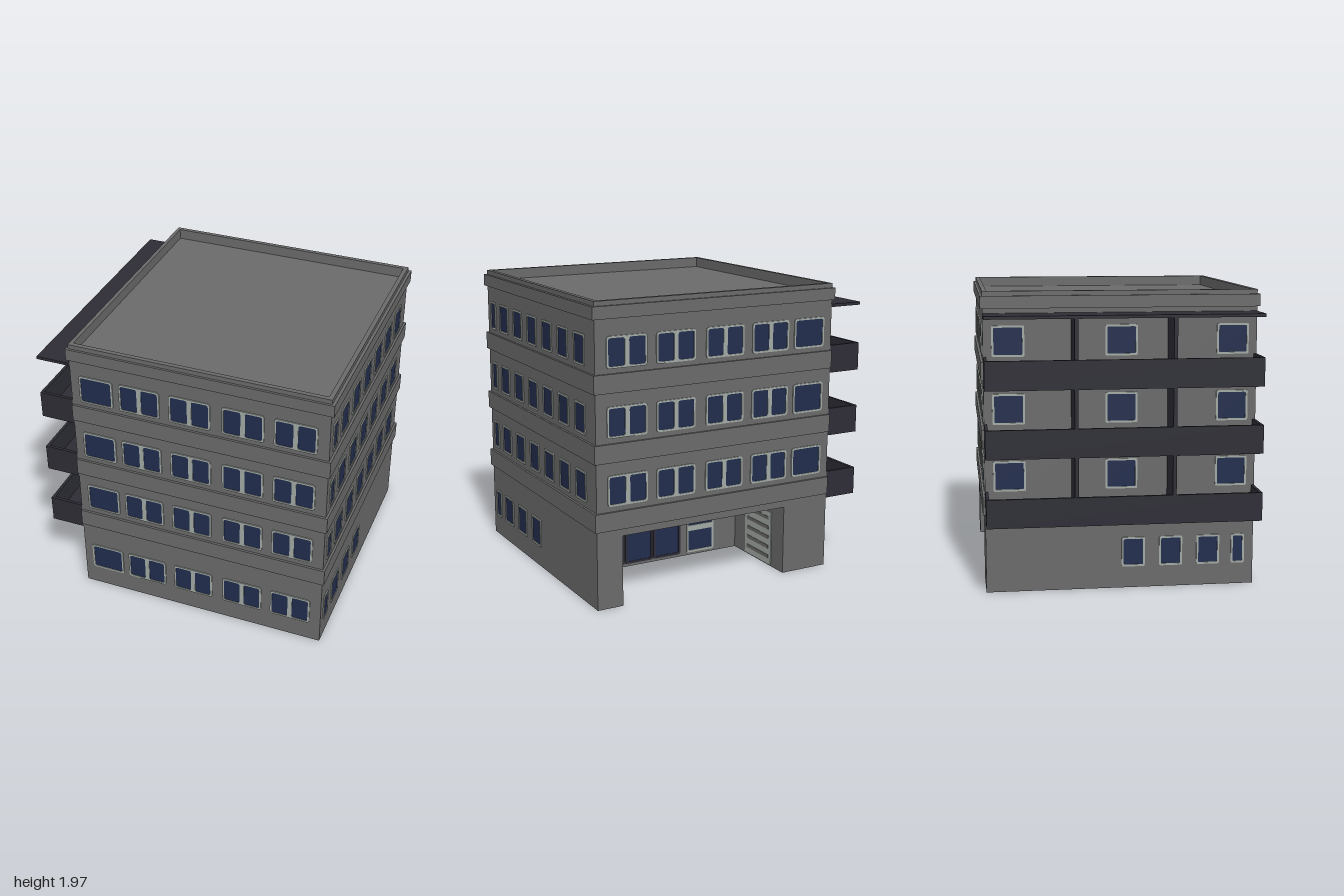
import * as THREE from 'three';

const mat = (name, color) => Object.assign(new THREE.MeshStandardMaterial({ color }), { name });

export function createModel() {
  const wall = mat('wall grey', 0x6a6a6a);
  const glass = mat('glass navy', 0x222d4d);
  const trim = mat('frame pale grey', 0xa2aaa4);
  const dark = mat('balcony charcoal', 0x2e2d36);

  const model = new THREE.Group();
  model.name = 'officeBuilding';
  const X0 = -0.765, X1 = 0.98, Z = 0.89;

  const add = (parent, name, geometry, material) => {
    const m = new THREE.Mesh(geometry, material);
    m.name = name;
    parent.add(m);
    return m;
  };
  // box given by its limits on each axis
  const box = (parent, name, material, x0, x1, y0, y1, z0, z1) => {
    const g = new THREE.BoxGeometry(x1 - x0, y1 - y0, z1 - z0);
    g.translate((x0 + x1) / 2, (y0 + y1) / 2, (z0 + z1) / 2);
    return add(parent, name, g, material);
  };
  // rounded rectangle outline centred on (x, y)
  const rounded = (Type, x, y, w, h, r) => {
    const s = new Type(), a = x - w / 2, b = x + w / 2, c = y - h / 2, d = y + h / 2;
    s.moveTo(a + r, c);
    s.lineTo(b - r, c); s.quadraticCurveTo(b, c, b, c + r);
    s.lineTo(b, d - r); s.quadraticCurveTo(b, d, b - r, d);
    s.lineTo(a + r, d); s.quadraticCurveTo(a, d, a, d - r);
    s.lineTo(a, c + r); s.quadraticCurveTo(a, c, a + r, c);
    return s;
  };
  // floor plan (x, z) raised from y0 to y1
  const plan = (name, points, y0, y1, hole) => {
    const v = (list) => list.map(([x, z]) => new THREE.Vector2(x, -z));
    const s = new THREE.Shape(v(points));
    if (hole) s.holes.push(new THREE.Path(v(hole)));
    const g = new THREE.ExtrudeGeometry(s, { depth: y1 - y0, bevelEnabled: false });
    g.rotateX(-Math.PI / 2).translate(0, y0, 0);
    return add(model, name, g, wall);
  };
  const rect = (x0, x1, z0, z1) => [[x0, z1], [x1, z1], [x1, z0], [x0, z0]];

  // ground floor with the entrance recess cut into the back
  const rx0 = -0.42, rx1 = 0.8, rz = -0.27, ry = 0.47;
  plan('groundFloor', [[X0, Z], [X1, Z], [X1, -Z], [rx1, -Z], [rx1, rz], [rx0, rz], [rx0, -Z], [X0, -Z]], 0, ry);
  box(model, 'upperFloors', wall, X0, X1, ry, 1.9, -Z, Z);

  // parapet and its cornice
  plan('parapet', rect(X0, X1, -Z, Z), 1.9, 1.97, rect(-0.74, 0.95, -0.86, 0.86));
  plan('cornice', rect(-0.78, 1.0, -0.905, 0.905), 1.86, 1.94, rect(X0, X1, -Z, Z));

  // storey bands on front, back and left side
  for (const y of [0.52, 0.96, 1.4]) box(model, 'storeyBand', wall, X0, 0.995, y, y + 0.12, -0.905, 0.905);

  // wall frames: local x runs along the wall, local z points outwards
  const side = (name, x, z, turn) => {
    const g = new THREE.Group();
    g.name = name;
    g.position.set(x, 0, z);
    g.rotation.y = turn;
    model.add(g);
    return g;
  };
  const front = side('frontWindows', 0, Z, 0);
  const back = side('backWindows', 0, -Z, Math.PI);
  const leftSide = side('leftWindows', X1, 0, Math.PI / 2);
  const rightSide = side('rightWindows', X0, 0, -Math.PI / 2);

  // framed window with one or two panes
  const addWindow = (parent, u, y, w, h, panes, border = 0.012, r = 0.02, frameMat = trim, gap = 0.03) => {
    const s = rounded(THREE.Shape, u, y, w, h, r);
    const pw = (w - 2 * border - gap * (panes - 1)) / panes;
    for (let i = 0; i < panes; i++) {
      const c = u - w / 2 + border + pw / 2 + i * (pw + gap);
      s.holes.push(rounded(THREE.Path, c, y, pw, h - 2 * border, r * 0.75));
    }
    add(parent, 'windowFrame', new THREE.ExtrudeGeometry(s, { depth: 0.007, bevelEnabled: false, curveSegments: 3 }), frameMat);
    const g = new THREE.PlaneGeometry(w - border, h - border);
    add(parent, 'windowGlass', g.translate(u, y, 0.003), glass);
  };

  const rows = [0.244, 0.776, 1.214, 1.652];
  const H = 0.2;
  // front and back: one wide window and four pairs
  for (const [wallGroup, sign] of [[front, 1], [back, -1]]) {
    rows.forEach((y, i) => {
      if (sign < 0 && i === 0) return;
      addWindow(wallGroup, sign * -0.587, y, 0.235, H, 1);
      for (const x of [-0.285, 0.06, 0.418, 0.763]) addWindow(wallGroup, sign * x, y, 0.28, H, 2);
    });
  }
  // flank windows; the ground floor has only those towards the front
  const flank = [0.785, 0.583, 0.332, 0.081, -0.17, -0.421, -0.672];
  rows.forEach((y, i) => {
    flank.forEach((z, k) => {
      if (i === 0 && k > 3) return;
      const w = k === 0 ? 0.09 : 0.155;
      addWindow(leftSide, -z, y, w, H, 1, 0.013, 0.012);
      if (i === 0) addWindow(rightSide, z, y, w, H, 1, 0.013, 0.012);
    });
    if (i > 0) for (const z of [-0.73, 0, 0.73]) addWindow(rightSide, z, y, 0.21, H, 1, 0.013, 0.012);
  });

  // balconies along the right flank, with dividing fins up to the next level
  const levels = [0.487, 0.93, 1.365];
  levels.forEach((y, i) => {
    const b = new THREE.Group();
    b.name = 'balcony';
    model.add(b);
    const top = y + 0.187, next = i < 2 ? levels[i + 1] : 1.812;
    box(b, 'balconyFloor', dark, -0.98, X0, y, y + 0.03, -Z + 0.02, Z - 0.02);
    box(b, 'balconyRail', dark, -1, -0.98, y, top, -Z, Z);
    for (const s of [-1, 1]) {
      const z = s * (Z - 0.01);
      box(b, 'balconyEnd', dark, -0.98, X0, y, top, z - 0.01, z + 0.01);
      box(b, 'balconyFin', dark, -0.995, X0, y + 0.03, next, s * 0.315 - 0.012, s * 0.315 + 0.012);
    }
  });
  box(model, 'balconyCanopy', dark, -1, X0, 1.81, 1.83, -Z, Z);

  // entrance glazing at the end of the recess
  const entrance = side('entrance', 0, rz, Math.PI);
  for (const x of [0.145, 0.365, 0.585]) addWindow(entrance, -x, 0.21, 0.215, 0.38, 1, 0.016, 0.015, dark);
  addWindow(entrance, 0.125, 0.2, 0.22, 0.36, 1, 0.015, 0.012);
  box(entrance, 'doorBar', trim, 0.02, 0.23, 0.18, 0.22, 0, 0.008);

  // slatted service doors on both cheeks of the recess
  const cheeks = [side('serviceDoor', rx0, -0.58, Math.PI / 2), side('serviceDoor', rx1, -0.58, -Math.PI / 2)];
  for (const c of cheeks) {
    box(c, 'doorPanel', trim, -0.165, 0.165, 0.01, 0.39, 0, 0.005);
    for (let i = 0; i < 5; i++) box(c, 'doorSlat', wall, -0.135, 0.135, 0.05 + i * 0.07, 0.075 + i * 0.07, 0, 0.008);
  }

  return model;
}
